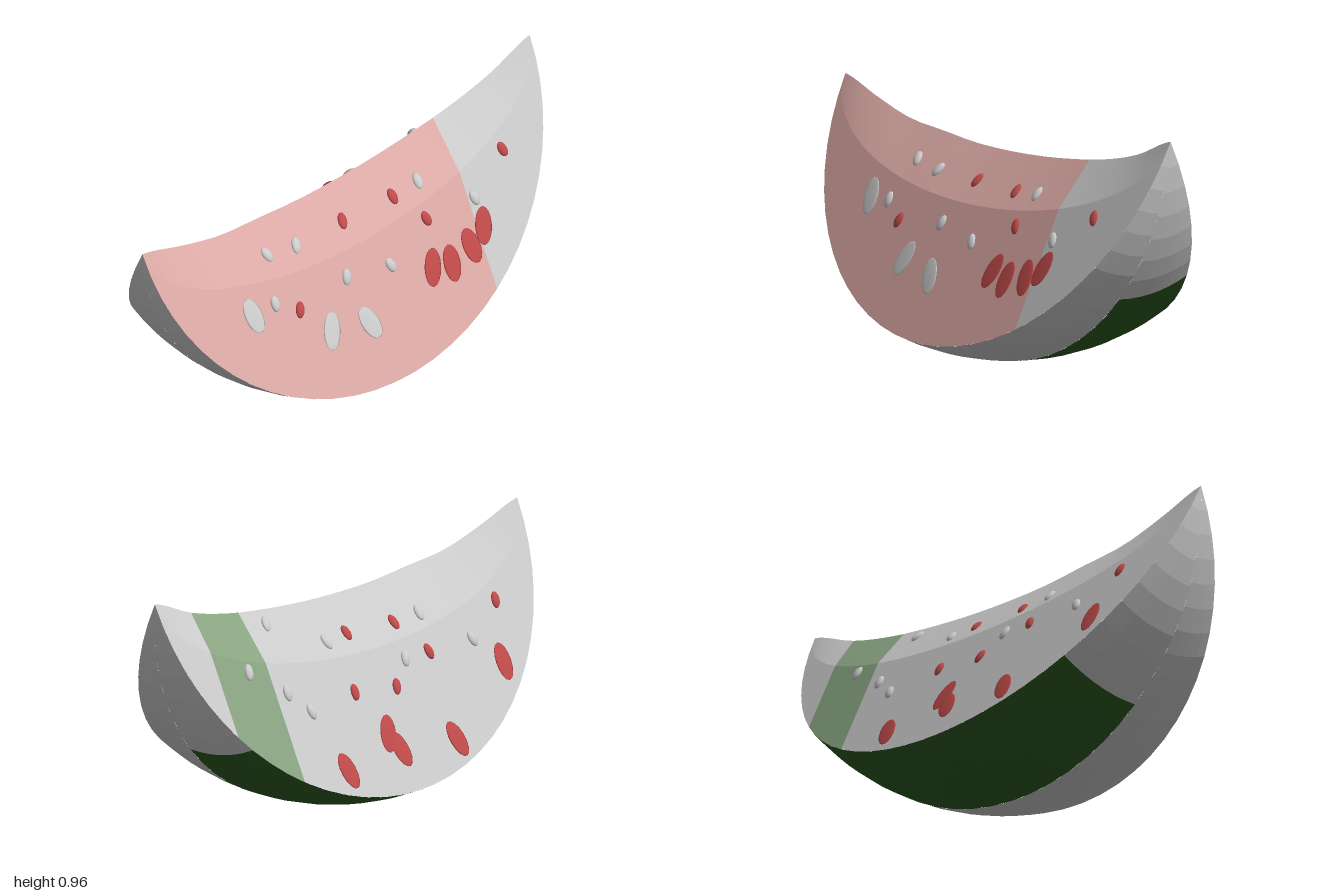
import * as THREE from 'three';

const TOP = 0.96;                    // height of the slice axis
const HALF = 0.445;                  // half angle of the wedge
const GREY = 0xcccccc, PINK = 0xdcaaa6, RED = 0xc04a4a, GREEN = 0x2c5a20, PALE_GREEN = 0x8aa582;

// Height of the eaten top ridge, evenly spaced from z = -1 to z = 1
const RIDGE = new THREE.SplineCurve(
  [0.96, 0.885, 0.84, 0.815, 0.8, 0.795, 0.8, 0.82, 0.84, 0.895, 0.96]
    .map((y, i) => new THREE.Vector2(-1 + i * 0.2, y)));

const ridgeY = z => RIDGE.getPoint((z + 1) / 2).y;
const creaseX = z => 0.17 * Math.sqrt(Math.max(0, 1 - z * z));
const planeY = x => TOP - x / Math.tan(HALF);

// Height of the flesh at distance x from the middle
function fleshY(x, z) {
  const c = creaseX(z);
  return x >= c ? planeY(x) : THREE.MathUtils.lerp(ridgeY(z), planeY(c), x / c);
}

// Outer skin point: t runs from the front tip to the back tip, phi across
function rindPoint(t, phi) {
  const r = TOP * Math.sin(t);
  return [Math.sin(phi) * r, TOP - Math.cos(phi) * r, Math.cos(t)];
}

// Flesh point: s = 0 ridge, 1 crease, 2 rim
function fleshPoint(side, t, s) {
  const z = Math.cos(t), c = creaseX(z);
  const rim = Math.sin(HALF) * TOP * Math.sin(t);
  const x = s <= 1 ? c * s : c + (rim - c) * (s - 1);
  return [side * x, fleshY(x, z), z];
}

// Grid surface between two z values and two cross values
function patch(name, fn, zFront, zBack, s0, s1, ns, color, flip, flat) {
  const eps = 0.002;
  const t0 = Math.max(eps, Math.acos(zFront));
  const t1 = Math.min(Math.PI - eps, Math.acos(zBack));
  const nt = Math.max(2, Math.round((t1 - t0) / Math.PI * 32));
  const pos = [], index = [];
  for (let i = 0; i <= nt; i++) {
    for (let j = 0; j <= ns; j++) {
      pos.push(...fn(t0 + (t1 - t0) * i / nt, s0 + (s1 - s0) * j / ns));
      if (i === nt || j === ns) continue;
      const a = i * (ns + 1) + j, b = a + ns + 1;
      if (flip) index.push(a, b + 1, b, a, a + 1, b + 1);
      else index.push(a, b, b + 1, a, b + 1, a + 1);
    }
  }
  const geo = new THREE.BufferGeometry();
  geo.setAttribute('position', new THREE.Float32BufferAttribute(pos, 3));
  geo.setIndex(index);
  geo.computeVertexNormals();
  const mesh = new THREE.Mesh(geo, new THREE.MeshStandardMaterial({ color, flatShading: !!flat }));
  mesh.name = name;
  return mesh;
}

const seedGeo = new THREE.SphereGeometry(1, 12, 8);

// Flattened oval lying on the flesh, long axis down the slope
function oval(name, side, z, x, color, width, length, thick) {
  const h = 0.01;
  const p = new THREE.Vector3(side * x, fleshY(x, z), z);
  const down = new THREE.Vector3(side * h, fleshY(x + h, z) - p.y, 0).normalize();
  const along = new THREE.Vector3(0, fleshY(x, z + h) - p.y, h).normalize();
  const out = new THREE.Vector3().crossVectors(along, down).normalize().multiplyScalar(side);
  if (out.y < 0) out.negate();
  const across = new THREE.Vector3().crossVectors(down, out);
  const mesh = new THREE.Mesh(seedGeo, new THREE.MeshStandardMaterial({ color }));
  mesh.quaternion.setFromRotationMatrix(new THREE.Matrix4().makeBasis(across, down, out));
  mesh.rotateZ(0.35 * Math.sin(z * 23 + x * 40));
  mesh.position.copy(p);
  mesh.scale.set(width, length, thick);
  mesh.name = name;
  return mesh;
}

// Seeds and stains as [z, distance from middle, red?]
const SEEDS = {
  left: [[0.44, 0.09], [0.3, 0.1], [0.06, 0.1, 1], [-0.19, 0.11, 1], [-0.32, 0.11], [0.49, 0.19],
    [0.39, 0.22, 1], [0.14, 0.21], [-0.07, 0.23], [-0.29, 0.19, 1], [-0.53, 0.2], [-0.72, 0.15, 1]],
  right: [[-0.64, 0.15], [-0.48, 0.2], [-0.39, 0.24], [-0.43, 0.04], [-0.18, 0.12], [-0.14, 0.23, 1],
    [-0.06, 0.11, 1], [0.08, 0.24, 1], [0.17, 0.2], [0.19, 0.12, 1], [0.3, 0.2, 1], [0.33, 0.12],
    [0.54, 0.2], [0.72, 0.15, 1]],
};
const STAINS = {
  left: [[-0.25, 0.27, 1], [-0.34, 0.28, 1], [-0.45, 0.27, 1], [-0.53, 0.25, 1], [0.28, 0.28], [0.1, 0.3],
    [0.6, 0.19]],
  right: [[-0.04, 0.31, 1], [0.0, 0.34, 1], [-0.3, 0.35, 1], [0.3, 0.35, 1], [0.66, 0.25, 1]],
};

export function createModel() {
  const group = new THREE.Group();

  // Rind: grey skin with a green field on the right half
  const split = 0.08;
  const rind = new THREE.Group();
  rind.name = 'rind';
  rind.add(
    patch('rindLeft', rindPoint, 1, -1, split, HALF, 5, GREY, false, true),
    patch('rindFrontTip', rindPoint, 1, 0.6, -HALF, split, 7, GREY, false, true),
    patch('rindGreen', rindPoint, 0.6, -0.75, -HALF, split, 7, GREEN, false, true),
    patch('rindBackTip', rindPoint, -0.75, -1, -HALF, split, 7, GREY, false, true));
  group.add(rind);

  // Flesh: flat cut sides and the sloping bitten top, in colour zones along z
  const zones = {
    left: [[1, -0.5, PINK], [-0.5, -1, GREY]],
    right: [[1, -0.54, GREY], [-0.54, -0.8, PALE_GREEN], [-0.8, -1, GREY]],
  };
  for (const [label, side] of [['left', 1], ['right', -1]]) {
    const flesh = new THREE.Group();
    flesh.name = label + 'Flesh';
    const point = (t, s) => fleshPoint(side, t, s);
    for (const [front, back, color] of zones[label]) {
      flesh.add(patch(label + 'BittenTop', point, front, back, 0, 1, 3, color, side > 0));
      flesh.add(patch(label + 'CutFace', point, front, back, 1, 2, 3, color, side > 0));
    }
    for (const [z, x, red] of SEEDS[label]) {
      flesh.add(oval(label + 'Seed', side, z, x, red ? RED : GREY, 0.02, 0.033, 0.012));
    }
    for (const [z, x, red] of STAINS[label]) {
      flesh.add(oval(label + 'Stain', side, z, x, red ? RED : GREY, 0.04, 0.075, 0.003));
    }
    group.add(flesh);
  }
  return group;
}
